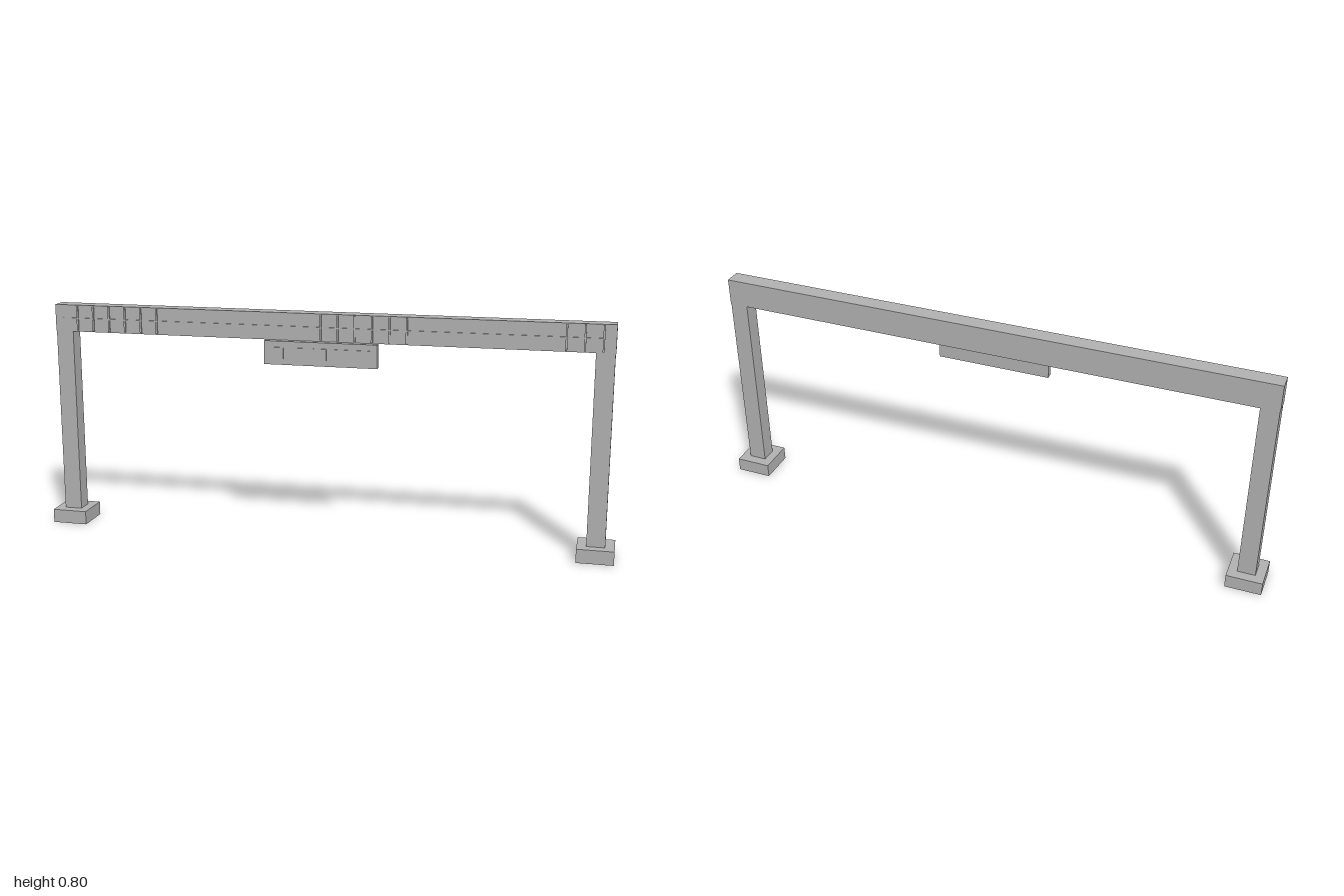
import * as THREE from 'three';

export function createModel() {
  const model = new THREE.Group();
  model.name = 'gantry';
  const grey = new THREE.MeshStandardMaterial({ color: 0xb2b2b2 });
  grey.name = 'concrete grey';

  // Box given by its minimum and maximum on each axis
  function box(name, [x0, x1], [y0, y1], [z0, z1]) {
    const mesh = new THREE.Mesh(new THREE.BoxGeometry(x1 - x0, y1 - y0, z1 - z0), grey);
    mesh.position.set((x0 + x1) / 2, (y0 + y1) / 2, (z0 + z1) / 2);
    mesh.name = name;
    model.add(mesh);
  }

  // Footings and posts
  for (const [side, s] of [['left', 1], ['right', -1]]) {
    const cx = s * 0.9375;
    box(side + 'Footing', [cx - 0.0625, cx + 0.0625], [0, 0.048], [-0.064, 0.064]);
    box(side + 'Post', [cx - 0.031, cx + 0.031], [0.048, 0.703], [-0.0285, 0.0285]);
  }

  // Cross beam
  box('beam', [-0.97, 0.97], [0.703, 0.797], [-0.029, 0.029]);

  // Raised rail and upright ribs on the beam front
  box('beamRail', [-0.94, 0.93], [0.748, 0.752], [0.029, 0.033]);
  const ribGroups = [[-0.886, 6], [-0.005, 6], [0.812, 3]];
  for (const [start, count] of ribGroups) {
    for (let i = 0; i < count; i++) {
      const x = start + i * 0.059;
      box('beamRib', [x - 0.003, x + 0.003], [0.707, 0.794], [0.029, 0.034]);
    }
  }

  // Hanging sign with five raised plates
  box('sign', [-0.197, 0.195], [0.622, 0.703], [0.029, 0.053]);
  for (let i = -2; i <= 2; i++) {
    const x = i * 0.075 - 0.002;
    box('signPlate', [x - 0.023, x + 0.023], [0.642, 0.682], [0.053, 0.057]);
  }

  return model;
}
